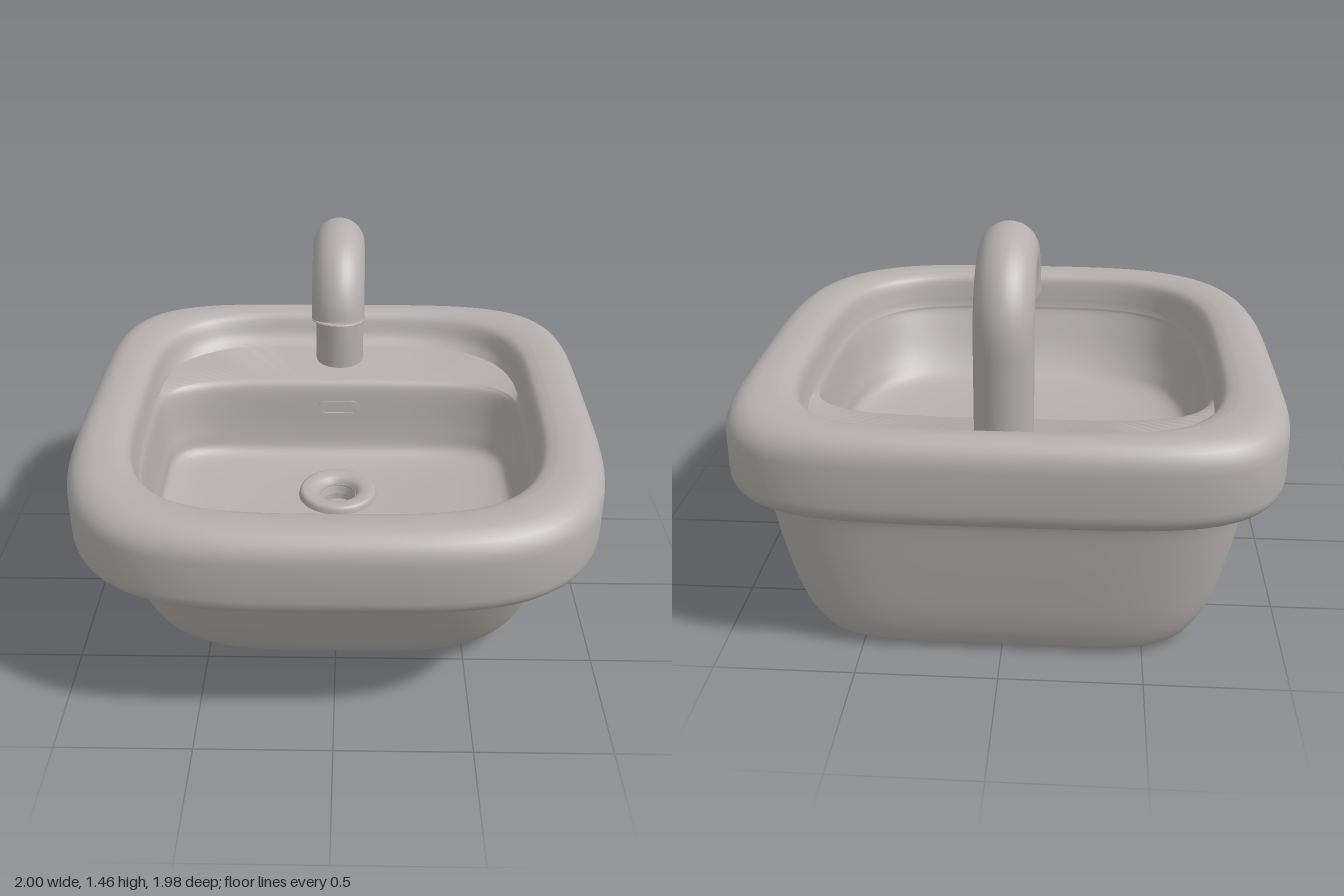
import * as THREE from 'three';
import { toCreasedNormals } from 'three/addons/utils/BufferGeometryUtils.js';

const SEG = 144;
const CENTRE = -0.105; // z of the drain, around which every outline is drawn

// Rounded-square outline: superellipse, with a softer exponent on the front half
function ring([y, halfWidth, back, front, power]) {
  const pts = [];
  for (let j = 0; j < SEG; j++) {
    const t = (j / SEG) * Math.PI * 2, c = Math.cos(t), s = Math.sin(t);
    const n = s < 0 ? power : Math.min(power, 3.7);
    const depth = s < 0 ? CENTRE - back : front - CENTRE;
    const r = (Math.abs(c / halfWidth) ** n + Math.abs(s / depth) ** n) ** (-1 / n);
    pts.push(r * c, y, CENTRE + r * s);
  }
  return pts;
}

// Fill in outlines between a few key ones with a smooth curve
function blend(rows, count) {
  const columns = rows[0].map((_, k) =>
    new THREE.SplineCurve(rows.map(r => new THREE.Vector2(r[k], 0))));
  return Array.from({ length: count + 1 }, (_, i) =>
    columns.map(c => c.getPoint(i / count).x));
}

// Quarter-round edge of the rim: edge is 1 - inset on every side
function roundEdge(centreY, radius, from, to) {
  return Array.from({ length: 7 }, (_, i) => {
    const a = from + (to - from) * (i / 6);
    const inset = radius * (1 - Math.cos(a));
    return [centreY + radius * Math.sin(a), 1 - inset, -0.995 + 0.8 * inset, 0.988 - inset, 4.8];
  });
}

// Skin a stack of outlines
function loft(rows) {
  const idx = [];
  for (let i = 0; i < rows.length - 1; i++) {
    for (let j = 0; j < SEG; j++) {
      const a = i * SEG + j, b = i * SEG + (j + 1) % SEG;
      idx.push(a, a + SEG, b + SEG, a, b + SEG, b);
    }
  }
  const g = new THREE.BufferGeometry();
  g.setAttribute('position', new THREE.Float32BufferAttribute(rows.flatMap(ring), 3));
  g.setIndex(idx);
  return toCreasedNormals(g, 0.7);
}

function capsule(path, halfLength, r) {
  path.absarc(halfLength, 0, r, -Math.PI / 2, Math.PI / 2, false);
  path.absarc(-halfLength, 0, r, Math.PI / 2, Math.PI * 1.5, false);
  path.closePath();
  return path;
}

export function createModel() {
  const model = new THREE.Group();
  const ceramic = new THREE.MeshStandardMaterial({ color: 0xb4afac, side: THREE.DoubleSide });
  ceramic.name = 'grey ceramic';
  const add = (name, geo) => {
    const m = new THREE.Mesh(geo, ceramic);
    m.name = name;
    model.add(m);
    return m;
  };

  // Outer bowl; each key outline is y, half width, back z, front z, power
  add('outerBowl', loft([
    [0, 0.001, -0.106, -0.104, 4],
    ...blend([
      [0, 0.63, -0.785, 0.41, 5.8],
      [0.025, 0.695, -0.832, 0.485, 5.8],
      [0.14, 0.77, -0.873, 0.592, 5.6],
      [0.35, 0.83, -0.906, 0.712, 5.4],
      [0.54, 0.866, -0.931, 0.806, 5.2],
      [0.58, 0.89, -0.945, 0.85, 5],
    ], 20),
  ]));

  // Rim, back ledge and basin in one continuous skin
  const quarter = Math.PI / 2;
  add('rimAndBasin', loft([
    [0.57, 0.84, -0.9, 0.78, 5],
    ...roundEdge(0.645, 0.075, -quarter, 0),
    ...roundEdge(0.79, 0.1, 0, quarter),
    ...blend([
      [0.89, 0.84, -0.88, 0.83, 4.2],
      [0.865, 0.783, -0.845, 0.79, 3.9],
      [0.79, 0.765, -0.812, 0.773, 3.8],
      [0.752, 0.757, -0.77, 0.768, 3.8],
    ], 12),
    ...blend([
      [0.74, 0.75, -0.46, 0.763, 4],
      [0.7, 0.742, -0.432, 0.75, 4],
      [0.52, 0.72, -0.405, 0.65, 4],
      [0.43, 0.67, -0.375, 0.53, 4],
      [0.39, 0.35, -0.29, 0.2, 3],
      [0.378, 0.075, -0.18, -0.03, 2],
    ], 30),
    [0.31, 0.07, -0.175, -0.035, 2],
    [0.31, 0.001, -0.106, -0.104, 2],
  ]));

  // Drain flange: a rounded ring over the well
  const flange = new THREE.SplineCurve([
    new THREE.Vector2(0.165, 0.375), new THREE.Vector2(0.15, 0.41),
    new THREE.Vector2(0.09, 0.4), new THREE.Vector2(0.065, 0.34),
  ]);
  add('drainFlange', new THREE.LatheGeometry(flange.getPoints(14), 40)).position.z = CENTRE;

  // Overflow slot surround on the basin's back wall
  const slot = capsule(new THREE.Shape(), 0.06, 0.032);
  slot.holes.push(capsule(new THREE.Path(), 0.055, 0.02));
  const overflow = add('overflowSlot', new THREE.ExtrudeGeometry(slot,
    { depth: 0.015, bevelEnabled: false, curveSegments: 10 }));
  overflow.position.set(0, 0.62, -0.426);
  overflow.rotation.x = -0.15;

  // Swan-neck spout: straight riser, then an arc
  const tilt = 0.1;
  const path = [0.72, 0.85, 0.98, 1.06].map(y => new THREE.Vector3(0, y, -0.668));
  for (let i = 0; i <= 14; i++) {
    const a = Math.PI + (tilt - Math.PI) * (i / 14);
    path.push(new THREE.Vector3(0, 1.122 + 0.235 * Math.sin(a), -0.433 + 0.235 * Math.cos(a)));
  }
  add('spout', new THREE.TubeGeometry(new THREE.CatmullRomCurve3(path), 60, 0.104, 32));

  // Spout end face and nozzle, both tilted with the end of the arc
  const tip = path[path.length - 1];
  const cap = add('spoutEnd', new THREE.CylinderGeometry(0.102, 0.104, 0.004, 32));
  const nozzle = add('nozzle', new THREE.CylinderGeometry(0.078, 0.071, 0.11, 32));
  cap.position.copy(tip);
  nozzle.position.set(0, 1.118, tip.z + 0.001);
  cap.rotation.x = -tilt;
  nozzle.rotation.x = -tilt / 2;

  return model;
}
